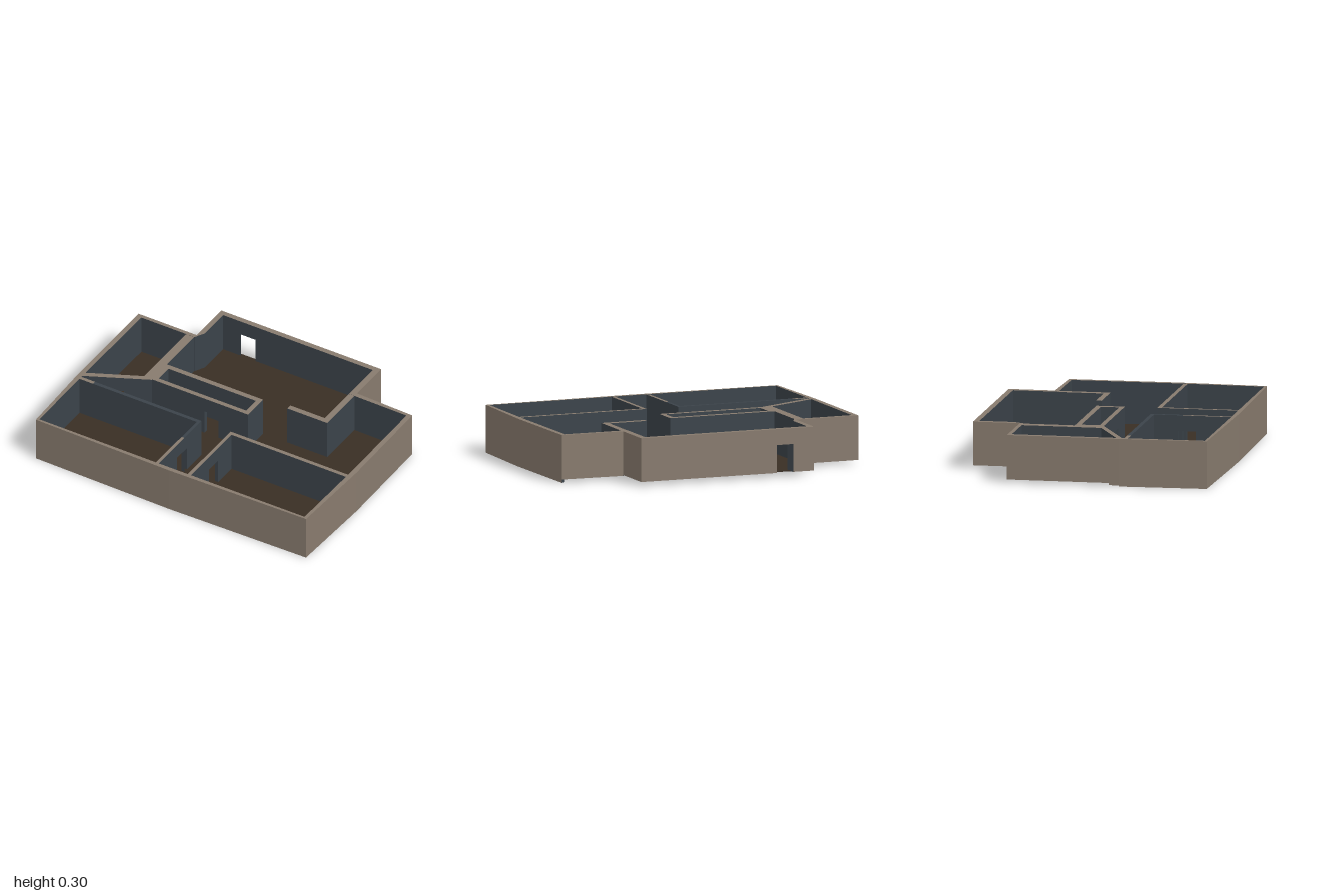
import * as THREE from 'three';

const mat = (name, color) => {
  const m = new THREE.MeshStandardMaterial({ color });
  m.name = name;
  return m;
};
const TOP = 0.3, BASE = 0.025, DOOR = 0.2;

export function createModel() {
  const model = new THREE.Group();
  const plaster = mat('taupe plaster', 0x887b6e);
  const slate = mat('slate inner wall', 0x3b434a);
  const wood = mat('dark brown floor', 0x392e24);

  // Four-cornered block; plan corners run clockwise from above: outer pair, inner pair.
  // Materials: outer, end, inner, end, top, bottom.
  function block(name, plan, y0, y1, mats) {
    const lo = plan.map(([x, z]) => [x, y0, z]);
    const hi = plan.map(([x, z]) => [x, y1, z]);
    const quads = [0, 1, 2, 3].map((i) => {
      const j = (i + 1) % 4;
      return [lo[i], hi[i], hi[j], lo[j]];
    });
    quads.push([hi[0], hi[3], hi[2], hi[1]], lo);
    const geo = new THREE.BufferGeometry();
    const pos = [];
    quads.forEach(([a, b, c, d], i) => {
      pos.push(...a, ...b, ...c, ...a, ...c, ...d);
      geo.addGroup(i * 6, 6, i);
    });
    geo.setAttribute('position', new THREE.Float32BufferAttribute(pos, 3));
    geo.computeVertexNormals();
    const mesh = new THREE.Mesh(geo, mats);
    mesh.name = name;
    model.add(mesh);
  }

  const mix = (p, q, t) => [p[0] + (q[0] - p[0]) * t, p[1] + (q[1] - p[1]) * t];

  // Wall with an optional doorway between fractions door[0] and door[1] of its length.
  function wall(name, [a, b, c, d], y0, y1, mats, door) {
    const part = (s, t) => [mix(a, b, s), mix(a, b, t), mix(d, c, t), mix(d, c, s)];
    if (!door) return block(name, [a, b, c, d], y0, y1, mats);
    block(name, part(0, door[0]), y0, y1, mats);
    block(name, part(door[1], 1), y0, y1, mats);
    block(name + 'Lintel', part(door[0], door[1]), DOOR, y1, mats);
  }

  // Outer ring: [outer x, z, inner x, z, base height of the wall that follows]
  const ring = [
    [-0.58, -0.785, -0.545, -0.75, BASE],
    [0.58, -0.785, 0.54, -0.75, BASE],
    [0.58, -0.495, 0.54, -0.465, 0.02],
    [0.99, -0.48, 0.96, -0.46, 0],
    [1, 0.2, 0.967, 0.2, 0],
    [0.98, 0.77, 0.96, 0.755, 0],
    [0, 0.785, 0, 0.757, 0],
    [-0.98, 0.77, -0.963, 0.755, 0],
    [-1, 0.22, -0.968, 0.22, 0.02],
    [-1, -0.49, -0.965, -0.465, 0.02],
    [-0.58, -0.49, -0.58, -0.465, BASE],
    [-0.58, -0.53, -0.545, -0.53, BASE],
  ];
  const outerMats = [plaster, slate, slate, slate, plaster, slate];
  ring.forEach((p, i) => {
    const q = ring[(i + 1) % ring.length];
    const plan = [[p[0], p[1]], [q[0], q[1]], [q[2], q[3]], [p[2], p[3]]];
    wall('outerWall', plan, p[4], TOP, outerMats, i === 0 ? [0.12, 0.215] : null);
  });

  // Inner partitions along a centre line
  const innerMats = [slate, slate, slate, slate, plaster, slate];
  const darkMats = innerMats.map(() => slate);
  function partition(name, x1, z1, x2, z2, t, door, mats = innerMats) {
    const len = Math.hypot(x2 - x1, z2 - z1);
    const nx = ((z2 - z1) / len) * t / 2, nz = (-(x2 - x1) / len) * t / 2;
    const plan = [[x1 + nx, z1 + nz], [x2 + nx, z2 + nz], [x2 - nx, z2 - nz], [x1 - nx, z1 - nz]];
    wall(name, plan, BASE, TOP - 0.001, mats, door);
  }
  // Back room
  partition('backRoomSideWall', 0.56, -0.48, 0.56, -0.14, 0.04);
  partition('backRoomReturnWall', 0.29, -0.158, 0.58, -0.158, 0.036);
  partition('sideRoomWall', -0.611, -0.48, -0.611, 0.04, 0.058);
  // Closet
  partition('closetBackWall', -0.6, -0.122, 0.115, -0.122, 0.034);
  partition('closetFrontWall', -0.6, 0.026, 0.115, 0.026, 0.03, [0.56, 0.7]);
  partition('closetEndWall', 0.1, -0.139, 0.1, 0.041, 0.032);
  partition('closetInnerEndWall', -0.575, -0.139, -0.575, 0.041, 0.05);
  // Slanted wall of the side room
  partition('slantedWall', -0.585, 0.03, -0.98, 0.222, 0.034, [0.4, 0.65]);
  // Front rooms and hallway
  partition('frontRoomBackWall', -0.98, 0.258, -0.87, 0.258, 0.024);
  partition('frontRoomBackWall', -0.87, 0.258, -0.097, 0.258, 0.024, null, darkMats);
  partition('hallWall', -0.107, 0.27, -0.107, 0.45, 0.02, [0.83, 1], darkMats);
  partition('hallWall', -0.107, 0.45, -0.107, 0.765, 0.02, [0, 0.27]);
  partition('frontRoomBackWall', 0.115, 0.258, 0.975, 0.258, 0.026);
  partition('hallWall', 0.125, 0.258, 0.125, 0.765, 0.022, [0.34, 0.55]);

  // Floor slab following the middle of the outer walls
  const shape = new THREE.Shape(
    ring.map((p) => new THREE.Vector2((p[0] + p[2]) / 2, -(p[1] + p[3]) / 2)));
  const floorGeo = new THREE.ExtrudeGeometry(shape, { depth: 0.008, bevelEnabled: false });
  floorGeo.rotateX(-Math.PI / 2);
  const floor = new THREE.Mesh(floorGeo, wood);
  floor.name = 'floor';
  floor.position.y = BASE + 0.002;
  model.add(floor);

  // Footing plate under the front rooms
  const footing = new THREE.Mesh(new THREE.BoxGeometry(1.94, 0.02, 0.61), plaster);
  footing.name = 'footing';
  footing.position.set(0, 0.011, 0.455);
  model.add(footing);

  return model;
}
